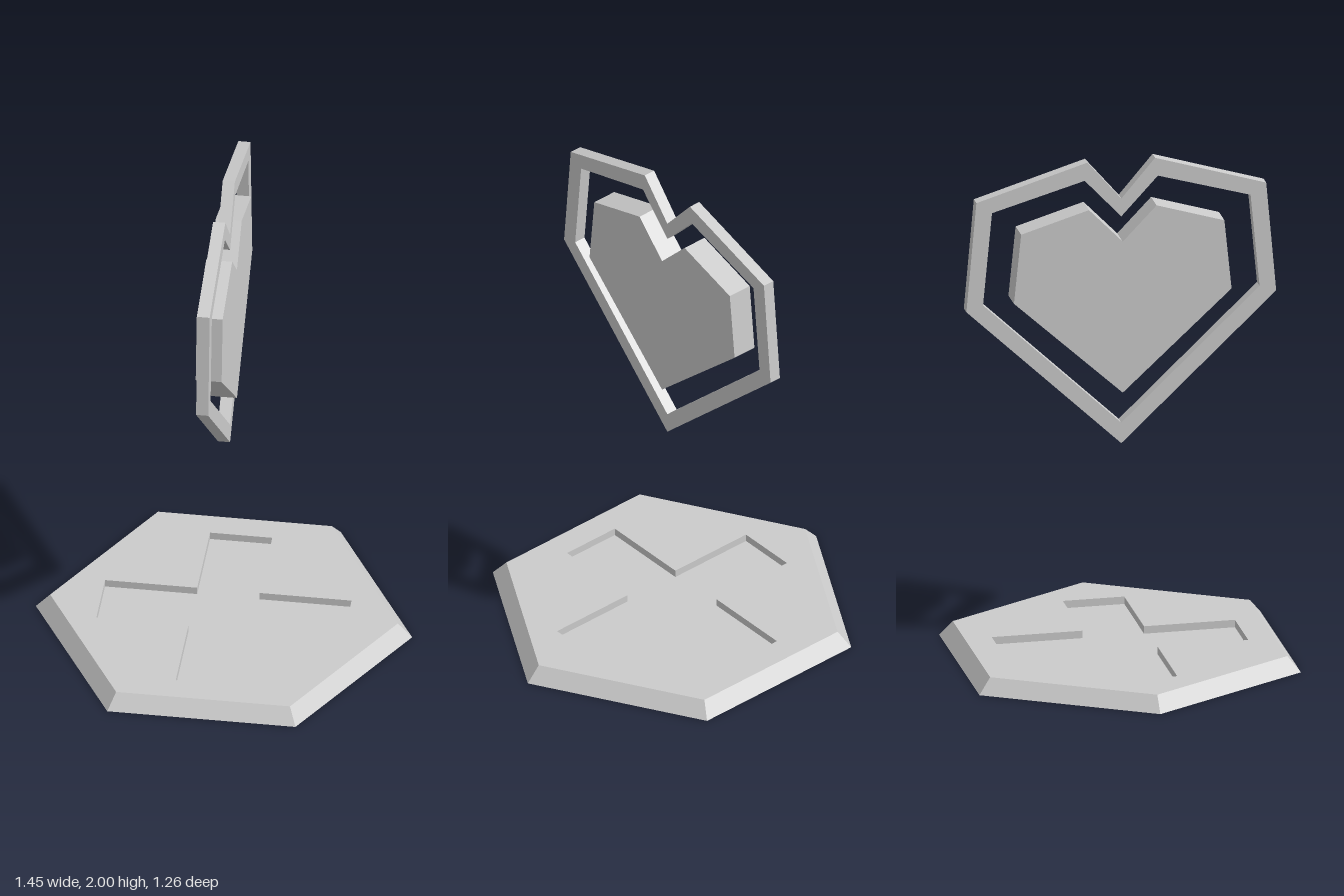
import * as THREE from 'three';

const material = new THREE.MeshStandardMaterial({ color: 0xcccccc, flatShading: true });

// Mirrors half an outline (bottom tip first, top notch last) into a full heart
function heartPoints(half) {
  const mirrored = half.slice(1, -1).reverse().map(([x, y]) => [-x, y]);
  return [...half, ...mirrored].map(([x, y]) => new THREE.Vector2(x, y));
}

// Upright plate lying in the YZ plane, centred on x = 0
function uprightPlate(name, shape, thickness) {
  const geometry = new THREE.ExtrudeGeometry(shape, { depth: thickness, bevelEnabled: false });
  geometry.translate(0, 0, -thickness / 2).rotateY(Math.PI / 2);
  const mesh = new THREE.Mesh(geometry, material);
  mesh.name = name;
  return mesh;
}

function createBase() {
  const base = new THREE.Group();
  base.name = 'base';
  const bottomRadius = 0.725, topRadius = 0.67, height = 0.06, recess = 0.03;
  const midRadius = THREE.MathUtils.lerp(bottomRadius, topRadius, 1 - recess / height);

  // Lower slab, its top is the floor of the cross recess
  const lower = new THREE.Mesh(
    new THREE.CylinderGeometry(midRadius, bottomRadius, height - recess, 6, 1, false, Math.PI / 2),
    material
  );
  lower.position.y = (height - recess) / 2;
  lower.name = 'lowerSlab';

  // Upper slab with a cross cut through it
  const hexagon = [];
  for (let i = 0; i < 6; i++) {
    const a = (i * Math.PI) / 3;
    hexagon.push(new THREE.Vector2(Math.cos(a) * topRadius, Math.sin(a) * topRadius));
  }
  const shape = new THREE.Shape(hexagon);
  const w = 0.12, l = 0.475;
  const cross = [];
  for (let i = 0; i < 4; i++) {
    for (const [x, y] of [[l, -w], [l, w], [w, w]]) {
      cross.push(new THREE.Vector2(x, y).rotateAround(new THREE.Vector2(), (i * Math.PI) / 2));
    }
  }
  shape.holes.push(new THREE.Path(cross));
  const geometry = new THREE.ExtrudeGeometry(shape, { depth: recess, bevelEnabled: false });

  // Flare the lower rim outwards so the slope continues into the lower slab
  const p = geometry.attributes.position;
  for (let i = 0; i < p.count; i++) {
    if (p.getZ(i) < recess / 2 && Math.hypot(p.getX(i), p.getY(i)) > 0.6) {
      const s = midRadius / topRadius;
      p.setXY(i, p.getX(i) * s, p.getY(i) * s);
    }
  }
  geometry.rotateX(-Math.PI / 2);
  geometry.computeVertexNormals();
  const upper = new THREE.Mesh(geometry, material);
  upper.position.y = height - recess;
  upper.name = 'upperSlab';

  base.add(lower, upper);
  return base;
}

export function createModel() {
  const model = new THREE.Group();
  model.name = 'heartPickup';
  model.add(createBase());

  // Solid floating heart
  const heart = heartPoints([[0, 1.07], [0.425, 1.46], [0.397, 1.737], [0.132, 1.817], [0, 1.68]]);
  model.add(uprightPlate('heart', new THREE.Shape(heart), 0.1));

  // Thin heart-shaped frame around it
  const frame = new THREE.Shape(
    heartPoints([[0, 0.857], [0.605, 1.43], [0.566, 1.868], [0.132, 2], [0, 1.845]])
  );
  frame.holes.push(new THREE.Path(
    heartPoints([[0, 0.94], [0.54, 1.453], [0.505, 1.823], [0.143, 1.927], [0, 1.773]])
  ));
  model.add(uprightPlate('heartFrame', frame, 0.047));

  return model;
}
